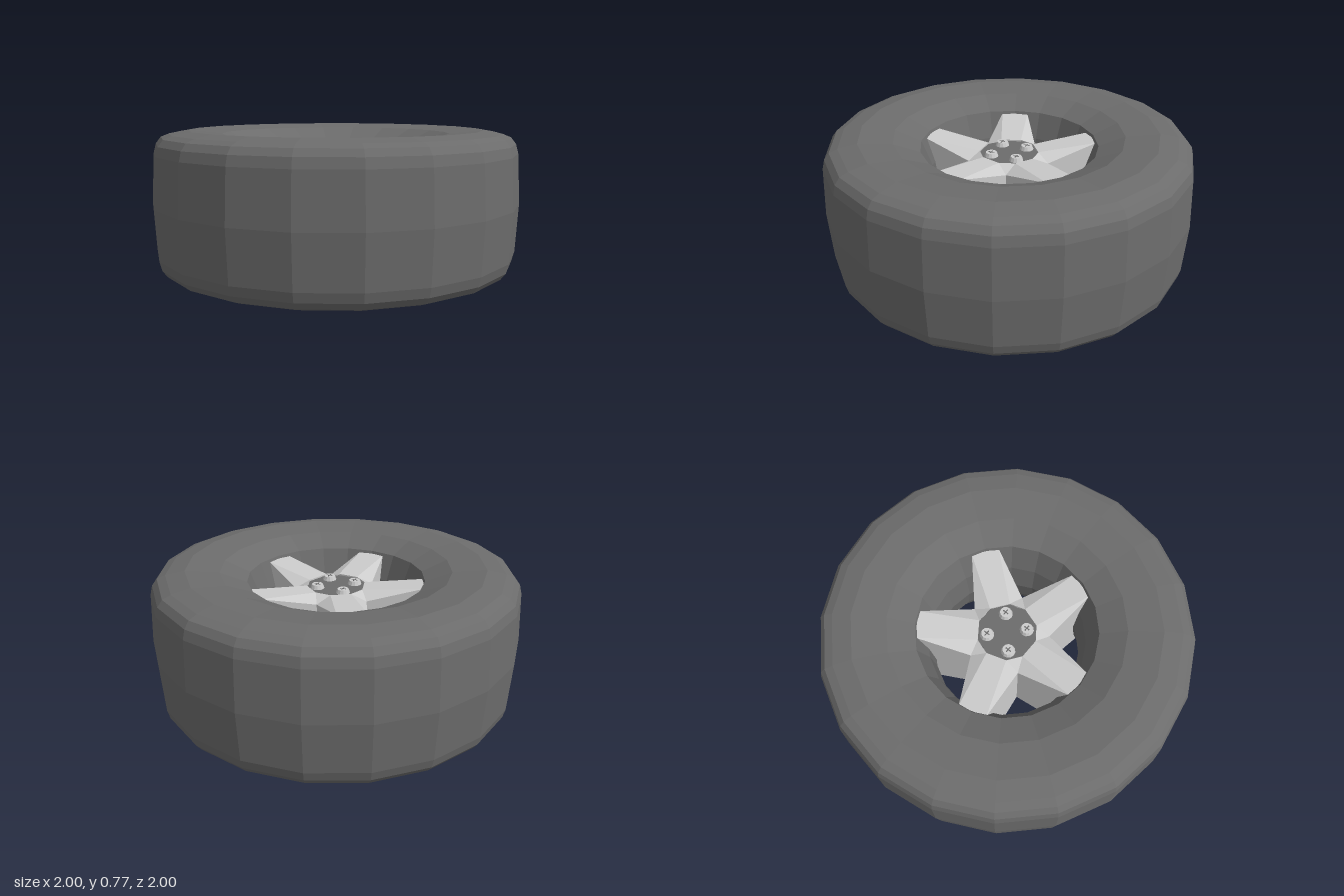
import * as THREE from 'three';

const MID = 0.385; // height of the wheel's plane of symmetry
const rubber = new THREE.MeshStandardMaterial({ color: 0x6c6c6c, flatShading: true });
const metal = new THREE.MeshStandardMaterial({ color: 0xcccccc, flatShading: true, side: THREE.DoubleSide });

function add(parent, name, geometry, material) {
  const mesh = new THREE.Mesh(geometry, material);
  mesh.name = name;
  parent.add(mesh);
  return mesh;
}

// Tyre and rim barrel: closed profile, half of it mirrored, turned in 20 sides
function tyreGeometry() {
  const half = [ // radius, height above the middle, from tread to barrel
    [1, 0], [0.985, 0.265], [0.972, 0.315], [0.945, 0.35], [0.9, 0.368], [0.8, 0.385],
    [0.62, 0.365], [0.48, 0.305], [0.425, 0.16], [0.4, 0]];
  const lower = half.slice(1, -1).reverse().map(([r, y]) => [r, -y]);
  const points = [...half, ...lower, half[0]].map(([r, y]) => new THREE.Vector2(r, y));
  return new THREE.LatheGeometry(points, 20);
}

// Five-spoke star: folded top, mirrored bottom, walls along the gaps and the hub recess
function starGeometry() {
  const positions = [];
  const tri = (a, b, c) => positions.push(...a, ...b, ...c);
  const quad = (a, b, c, d) => { tri(a, b, c); tri(a, c, d); };
  const down = ([x, y, z]) => [x, -y, z];
  const both = (a, b, c) => { tri(a, b, c); tri(down(a), down(c), down(b)); };
  const wall = (a, b) => quad(a, down(a), down(b), b);
  for (let i = 0; i < 5; i++) {
    const at = (x, y, z, turn = i) => {
      const t = turn * Math.PI * 2 / 5, c = Math.cos(t), s = Math.sin(t);
      return [x * c + z * s, y, z * c - x * s];
    };
    const hubL = at(-0.055, 0.26, 0.15), hubR = at(0.055, 0.26, 0.15);
    const tipL = at(-0.075, 0.29, 0.472), tipR = at(0.075, 0.29, 0.472);
    const gapR = at(0, 0.225, 0.225, i + 0.5), gapL = at(0, 0.225, 0.225, i - 0.5);
    const nextHub = at(-0.055, 0.26, 0.15, i + 1);
    both(hubL, tipL, tipR);
    both(hubL, tipR, hubR);
    both(hubR, tipR, gapR);
    both(hubL, gapL, tipL);
    both(hubR, gapR, nextHub);
    wall(gapR, tipR);
    wall(tipL, gapL);
    wall(hubL, hubR);
    wall(hubR, nextHub);
  }
  const geometry = new THREE.BufferGeometry();
  geometry.setAttribute('position', new THREE.Float32BufferAttribute(positions, 3));
  geometry.computeVertexNormals();
  return geometry;
}

// Scalloped hub plate with four cross-head bolts
function hubFace(name) {
  const face = new THREE.Group();
  face.name = name;
  const outline = [];
  for (let i = 0; i < 20; i++) {
    const r = i % 2 ? 0.167 : 0.15, a = i * Math.PI / 10;
    outline.push(new THREE.Vector2(r * Math.sin(a), r * Math.cos(a)));
  }
  const plate = new THREE.ExtrudeGeometry(new THREE.Shape(outline), { depth: 0.03, bevelEnabled: false });
  plate.rotateX(-Math.PI / 2);
  add(face, 'hubPlate', plate, rubber).position.y = 0.222;
  for (const x of [-0.077, 0.077]) {
    for (const z of [-0.072, 0.072]) {
      const bolt = new THREE.Group();
      bolt.name = 'bolt';
      bolt.position.set(x, 0.252, z);
      add(bolt, 'boltHead', new THREE.CylinderGeometry(0.03, 0.038, 0.022, 12), metal).position.y = 0.011;
      add(bolt, 'boltSlot', new THREE.BoxGeometry(0.034, 0.002, 0.006), rubber).position.y = 0.022;
      add(bolt, 'boltSlot', new THREE.BoxGeometry(0.006, 0.002, 0.034), rubber).position.y = 0.022;
      face.add(bolt);
    }
  }
  return face;
}

export function createModel() {
  const model = new THREE.Group();
  model.name = 'wheel';
  const wheel = new THREE.Group();
  wheel.name = 'wheelAssembly';
  wheel.position.y = MID;
  model.add(wheel);

  add(wheel, 'tyre', tyreGeometry(), rubber);
  add(wheel, 'spokes', starGeometry(), metal);
  const lower = hubFace('lowerHub');
  lower.rotation.x = Math.PI;
  wheel.add(hubFace('upperHub'), lower);
  return model;
}
